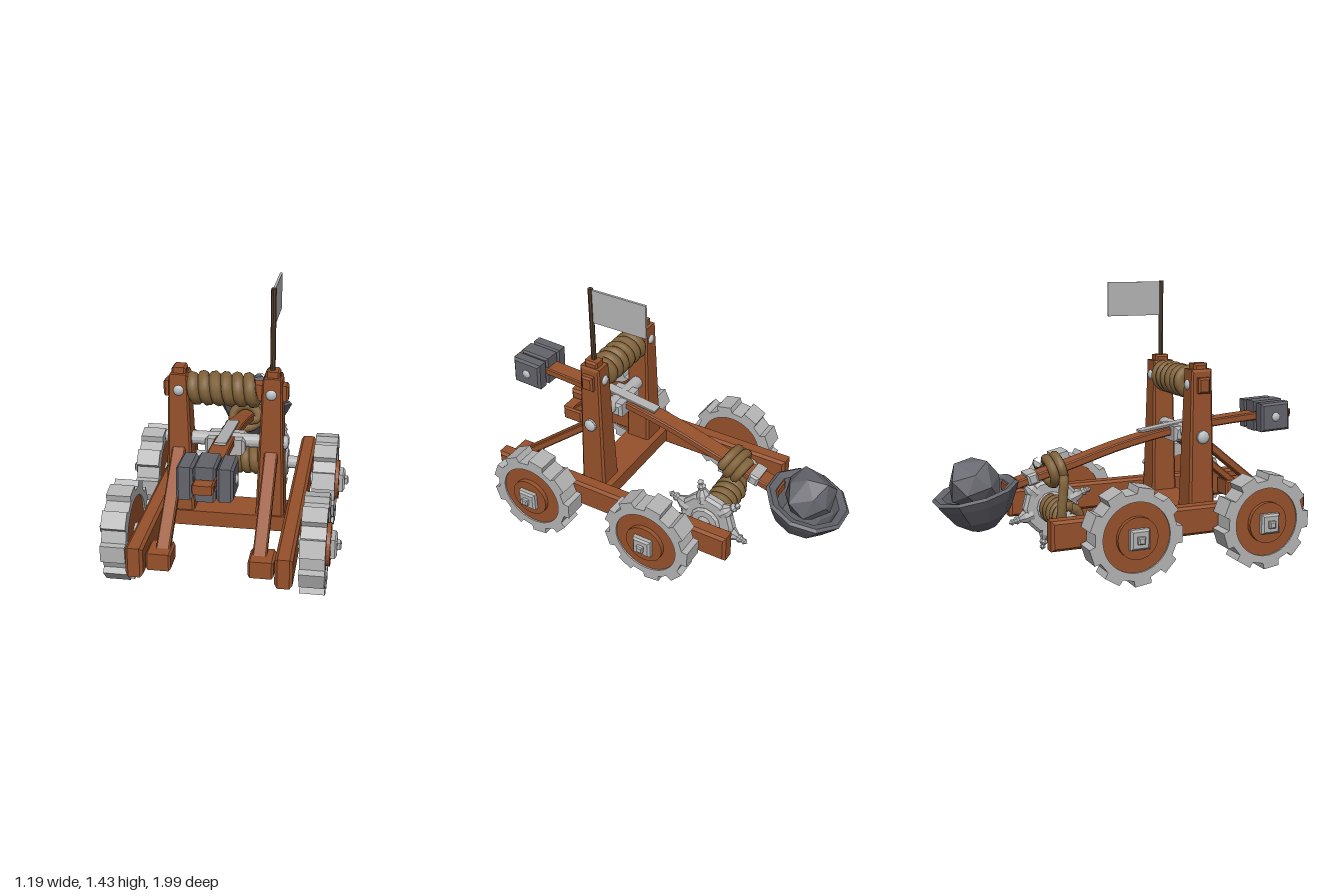
import * as THREE from 'three';
import { ConvexGeometry } from 'three/addons/geometries/ConvexGeometry.js';

const V = (x, y, z) => new THREE.Vector3(x, y, z);

export function createModel() {
  const model = new THREE.Group();
  model.name = 'catapult';
  const mat = (name, color, flatShading = true) => {
    const m = new THREE.MeshStandardMaterial({ color, flatShading });
    m.name = name;
    return m;
  };
  const wood = mat('wood', 0x96512b);
  const darkWood = mat('dark wood', 0x54402f);
  const rope = mat('rope', 0x80623a, false);
  const iron = mat('light iron', 0xb4b4b4);
  const bolt = mat('bolt metal', 0xbcc2c6, false);
  const stone = mat('dark stone', 0x63636b);

  const add = (name, geo, m, x = 0, y = 0, z = 0, parent = model) => {
    const mesh = new THREE.Mesh(geo, m);
    mesh.name = name;
    mesh.position.set(x, y, z);
    parent.add(mesh);
    return mesh;
  };

  // Extrudes a (z, y) outline across x, centred, with a chamfer
  const across = (shape, width, b = 0.008) => {
    const g = new THREE.ExtrudeGeometry(shape, {
      depth: width - 2 * b, bevelEnabled: b > 0, bevelSize: b, bevelOffset: -b,
      bevelThickness: b, bevelSegments: 1, curveSegments: 24,
    });
    g.translate(0, 0, -(width - 2 * b) / 2);
    return g.rotateY(-Math.PI / 2);
  };
  const outline = (pts) => new THREE.Shape(pts.map(([a, b]) => new THREE.Vector2(a, b)));
  const block = (w, h, d, b = 0.01) =>
    across(outline([[-d / 2, -h / 2], [d / 2, -h / 2], [d / 2, h / 2], [-d / 2, h / 2]]), w, b);
  const rod = (r, len, sides = 14) =>
    new THREE.CylinderGeometry(r, r, len, sides).rotateZ(Math.PI / 2);
  const dome = (r) => new THREE.SphereGeometry(r, 12, 8);
  const tube = (pts, r) =>
    new THREE.TubeGeometry(new THREE.CatmullRomCurve3(pts), pts.length * 3, r, 8);

  // Rope wound round a bar along x
  const coil = (x0, x1, y, z, r, turns, thick) => {
    const n = Math.round(turns * 10);
    const pts = Array.from({ length: n + 1 }, (_, i) => {
      const t = i / n, a = t * turns * Math.PI * 2;
      return V(x0 + (x1 - x0) * t, y + r * Math.cos(a), z + r * Math.sin(a));
    });
    return tube(pts, thick);
  };

  // Base frame
  add('crossBeam', block(0.62, 0.08, 0.19), wood, 0, 0.25, 0.315);
  for (const s of [-1, 1]) {
    add('sideRail', block(0.084, 0.15, 1.41, 0.014), wood, s * 0.348, 0.255, 0.185);
    add('footBlock', block(0.12, 0.085, 0.13), wood, s * 0.24, 0.25, 0.797);

    // Tapered post with cap
    const post = block(0.145, 0.76, 0.145, 0.012);
    const p = post.attributes.position;
    for (let i = 0; i < p.count; i++) {
      const t = (p.getY(i) + 0.38) / 0.76;
      p.setX(i, p.getX(i) * (1 - 0.36 * t) - s * 0.003 * (1 - t));
      p.setZ(i, p.getZ(i) * (1 - 0.22 * t));
    }
    post.computeVertexNormals();
    add('post', post, wood, s * 0.228, 0.625, 0.328);
    add('postCap', block(0.07, 0.06, 0.075), wood, s * 0.228, 1.005, 0.328);
    for (const f of [-1, 1]) {
      const b = add('postBolt', dome(0.027), bolt, s * 0.225, 0.925, 0.328 + f * 0.056);
      b.scale.z = 0.6;
    }
    // Diagonal brace
    const brace = add('brace', block(0.066, 0.04, 0.57, 0.006), wood, s * 0.228, 0.45, 0.58);
    brace.rotation.x = Math.atan2(0.36, 0.44);
  }

  // Top bar with rope winding
  add('topBar', block(0.61, 0.08, 0.065), wood, 0, 0.925, 0.33);
  add('topRope', coil(-0.165, 0.165, 0.925, 0.33, 0.056, 6, 0.031), rope);

  // Flag
  add('flagPole', new THREE.CylinderGeometry(0.013, 0.013, 0.42, 8), darkWood, 0.225, 1.225, 0.33);
  add('flag', new THREE.BoxGeometry(0.012, 0.18, 0.3), iron, 0.225, 1.34, 0.168);

  // Pivot axle and bracket
  add('pivotAxle', rod(0.035, 0.59), iron, 0, 0.66, 0.33);
  for (const s of [-1, 1]) add('pivotEnd', dome(0.034), bolt, s * 0.293, 0.66, 0.33).scale.x = 0.5;
  add('pivotBracket', block(0.2, 0.08, 0.13, 0.015), iron, 0, 0.645, 0.33);
  add('armPlate', block(0.062, 0.012, 0.434, 0.002), iron, 0, 0.69, 0.315).rotation.x = -0.14;

  // Curved throwing arm
  const armLine = new THREE.CatmullRomCurve3([
    V(0, 0.708, 1), V(0, 0.7, 0.75), V(0, 0.663, 0.33),
    V(0, 0.6, 0), V(0, 0.515, -0.3), V(0, 0.425, -0.64),
  ]).getPoints(16);
  add('throwingArm', across(outline([
    ...armLine.map((q) => [q.z, q.y + 0.021]),
    ...armLine.slice().reverse().map((q) => [q.z, q.y - 0.021]),
  ]), 0.096, 0.006), wood);
  add('armTip', block(0.1, 0.045, 0.05), wood, 0, 0.707, 0.973);
  add('armClamp', block(0.12, 0.06, 0.055), iron, 0, 0.466, -0.5).rotation.x = -0.25;

  // Counterweight of clamped blocks
  const weight = new THREE.Group();
  weight.name = 'counterweight';
  weight.position.set(0, 0.705, 0.858);
  weight.rotation.x = -0.04;
  model.add(weight);
  for (const s of [-1, 1]) {
    add('sideWeight', block(0.075, 0.155, 0.172, 0.012), stone, s * 0.09, 0, 0, weight);
    add('middleWeight', block(0.1, 0.06, 0.172), stone, 0, s * 0.052, 0, weight);
    add('weightBolt', dome(0.025), bolt, s * 0.126, 0, 0, weight).scale.x = 0.5;
  }

  // Bowl and boulder
  const bowl = new THREE.Group();
  bowl.name = 'bowl';
  bowl.position.set(0, 0.42, -0.785);
  bowl.rotation.x = -0.23;
  model.add(bowl);
  const profile = [[0, -0.2], [0.07, -0.19], [0.15, -0.125], [0.2, -0.04], [0.22, 0],
    [0.205, 0.012], [0.168, 0], [0.15, -0.05], [0.1, -0.11], [0, -0.14]];
  add('bowlShell', new THREE.LatheGeometry(
    profile.map(([r, y]) => new THREE.Vector2(r, y)), 10, Math.PI / 2), stone, 0, 0, 0, bowl);
  const rockPts = Array.from({ length: 20 }, (_, i) => {
    const y = 1 - (2 * i + 1) / 20, r = Math.sqrt(1 - y * y), a = i * 2.4;
    const k = 0.135 + 0.014 * Math.sin(i * 7.3);
    return V(k * r * Math.cos(a), k * y, k * r * Math.sin(a));
  });
  add('boulder', new ConvexGeometry(rockPts), stone, 0, 0.455, -0.79);

  // Winch with rope drum
  add('winchAxle', rod(0.036, 0.64), iron, 0, 0.25, -0.325);
  add('winchRope', coil(-0.1, 0.145, 0.252, -0.325, 0.055, 5, 0.029), rope);

  // Rope looped twice round the arm, then down to the drum
  const loop = Array.from({ length: 21 }, (_, i) => {
    const t = i / 20, a = Math.PI / 2 - t * Math.PI * 4.5;
    const z = -0.43 + 0.1 * t;
    return V(0.075 * Math.cos(a), 0.492 + 0.27 * (z + 0.38) + 0.06 * Math.sin(a),
      z - 0.025 * Math.sin(a));
  });
  loop.push(V(-0.085, 0.46, -0.35), V(-0.1, 0.38, -0.36), V(-0.105, 0.29, -0.37), V(-0.1, 0.23, -0.37));
  add('armRope', tube(loop, 0.026), rope);

  // Spiked winch wheel
  const winch = new THREE.Group();
  winch.name = 'winchWheel';
  winch.position.set(0.203, 0.25, -0.325);
  model.add(winch);
  const ring = (r, n) => Array.from({ length: n }, (_, i) => {
    const a = (i / n) * Math.PI * 2;
    return [r * Math.cos(a), r * Math.sin(a)];
  });
  add('winchDisc', across(outline(ring(0.155, 12)), 0.06, 0.015), iron, 0, 0, 0, winch);
  add('winchHub', across(outline(ring(0.085, 12)), 0.088, 0.012), iron, 0, 0, 0, winch);
  const spike = [[0.04, 0.11], [0.036, 0.155], [0.018, 0.185], [0.024, 0.2], [0.012, 0.215],
    [0.017, 0.228], [0, 0.245]].map(([r, y]) => new THREE.Vector2(r, y));
  for (let i = 0; i < 6; i++) {
    add('winchSpike', new THREE.LatheGeometry(spike, 8), iron, 0, 0, 0, winch)
      .rotation.x = 0.21 + (i * Math.PI) / 3;
  }

  // Wheels with toothed iron rims
  const teeth = 9, rimPts = [];
  for (let i = 0; i < teeth; i++) {
    const c = 1.78 + (i / teeth) * Math.PI * 2;
    for (const [o, r] of [[-0.21, 0.215], [-0.175, 0.246], [0.175, 0.246], [0.21, 0.215]]) {
      rimPts.push([r * Math.cos(c + o), r * Math.sin(c + o)]);
    }
  }
  const rim = outline(rimPts);
  rim.holes.push(new THREE.Path().absarc(0, 0, 0.175, 0, Math.PI * 2, true));
  const rimGeo = across(rim, 0.12, 0);
  for (const s of [-1, 1]) {
    for (const z of [0.572, -0.14]) {
      const wheel = new THREE.Group();
      wheel.name = 'wheel';
      wheel.position.set(s * 0.47, 0.25, z);
      if (s < 0) wheel.rotation.y = Math.PI;
      model.add(wheel);
      add('wheelRim', rimGeo, iron, 0, 0, 0, wheel);
      add('wheelDisc', rod(0.177, 0.104, 28), wood, 0, 0, 0, wheel);
      add('wheelBoss', rod(0.105, 0.08, 24), wood, 0.035, 0, 0, wheel);
      add('hubPlate', block(0.04, 0.1, 0.1), iron, 0.085, 0, 0, wheel);
      add('hubBolt', block(0.03, 0.036, 0.036, 0.006), iron, 0.11, 0, 0, wheel);
      add('wheelStub', rod(0.035, 0.12), iron, -0.06, 0, 0, wheel);
    }
  }
  return model;
}
